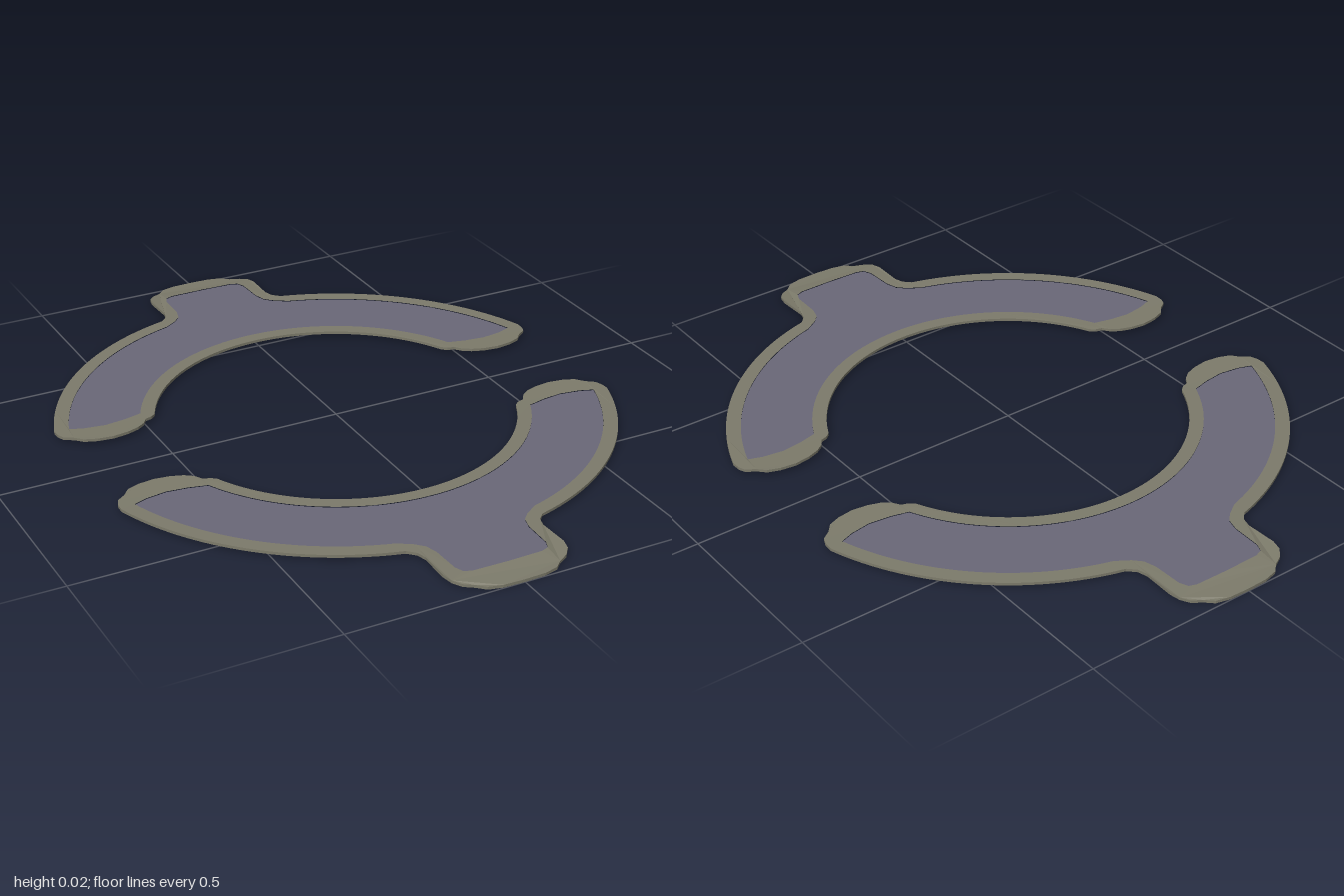
import * as THREE from 'three';

const rimMaterial = new THREE.MeshStandardMaterial({ color: 0x7d7b6b });
rimMaterial.name = 'olive grey rim';
const panelMaterial = new THREE.MeshStandardMaterial({ color: 0x6a6878 });
panelMaterial.name = 'slate panel';

// points on a circle about the origin, angles in degrees
function arc(radius, from, to, steps) {
  return Array.from({ length: steps + 1 }, (_, i) => {
    const a = THREE.MathUtils.degToRad(from + (to - from) * i / steps);
    return [radius * Math.cos(a), radius * Math.sin(a)];
  });
}

// closed outline from its right half, which runs from the stem end to the inner arc
function mirrored(half) {
  const other = half.filter(p => p[0] > 0.001).reverse().map(([x, z]) => [-x, z]);
  return [...half, ...other].map(([x, z]) => new THREE.Vector2(x, z));
}

const rimOutline = () => mirrored([
  [0, 1], [0.06, 0.998], [0.1, 0.988], [0.122, 0.967], [0.15, 0.952], [0.168, 0.93], [0.175, 0.9],
  [0.172, 0.81], [0.18, 0.782],
  ...arc(0.787, 75.2, 17.8, 32),
  [0.748, 0.215], [0.74, 0.195], [0.715, 0.178], [0.695, 0.155], [0.66, 0.142], [0.615, 0.136],
  [0.57, 0.142], [0.535, 0.154], [0.512, 0.17], [0.497, 0.192], [0.477, 0.198],
  ...arc(0.508, 24.4, 90, 32),
]);

const panelOutline = () => mirrored([
  [0, 0.919], [0.1, 0.917], [0.122, 0.909], [0.132, 0.885],
  [0.135, 0.8], [0.145, 0.765], [0.167, 0.742],
  ...arc(0.746, 74, 18.2, 32),
  [0.67, 0.219], [0.61, 0.21], [0.55, 0.217],
  ...arc(0.548, 24.8, 90, 32),
]);

// flat plate lying in the xz plane between two heights
function plate(shape, bottom, top) {
  const g = new THREE.ExtrudeGeometry(shape, { depth: top - bottom, bevelEnabled: false });
  return g.rotateX(Math.PI / 2).translate(0, top, 0);
}

// stem end dips down, arc tips lift slightly
function bendEnds(g) {
  const p = g.attributes.position;
  for (let i = 0; i < p.count; i++) {
    const z = p.getZ(i);
    const dip = 0.008 * THREE.MathUtils.clamp((z - 0.92) / 0.045, 0, 1);
    const lift = 0.002 * THREE.MathUtils.clamp((0.2 - z) / 0.04, 0, 1);
    p.setY(i, p.getY(i) - dip + lift);
  }
  g.computeVertexNormals();
  return g;
}

function makeBracket(name) {
  const bracket = new THREE.Group();
  bracket.name = name;

  // raised border
  const rimShape = new THREE.Shape(rimOutline());
  rimShape.holes.push(new THREE.Path(panelOutline()));
  const rim = new THREE.Mesh(bendEnds(plate(rimShape, 0.008, 0.016)), rimMaterial);
  rim.name = 'rim';

  // inset sheet
  const panel = new THREE.Mesh(plate(new THREE.Shape(panelOutline()), 0.01, 0.014), panelMaterial);
  panel.name = 'panel';

  bracket.add(rim, panel);
  return bracket;
}

export function createModel() {
  const model = new THREE.Group();
  model.name = 'splitRing';
  const front = makeBracket('frontBracket');
  const back = makeBracket('backBracket');
  back.rotation.y = Math.PI;
  model.add(front, back);
  return model;
}
